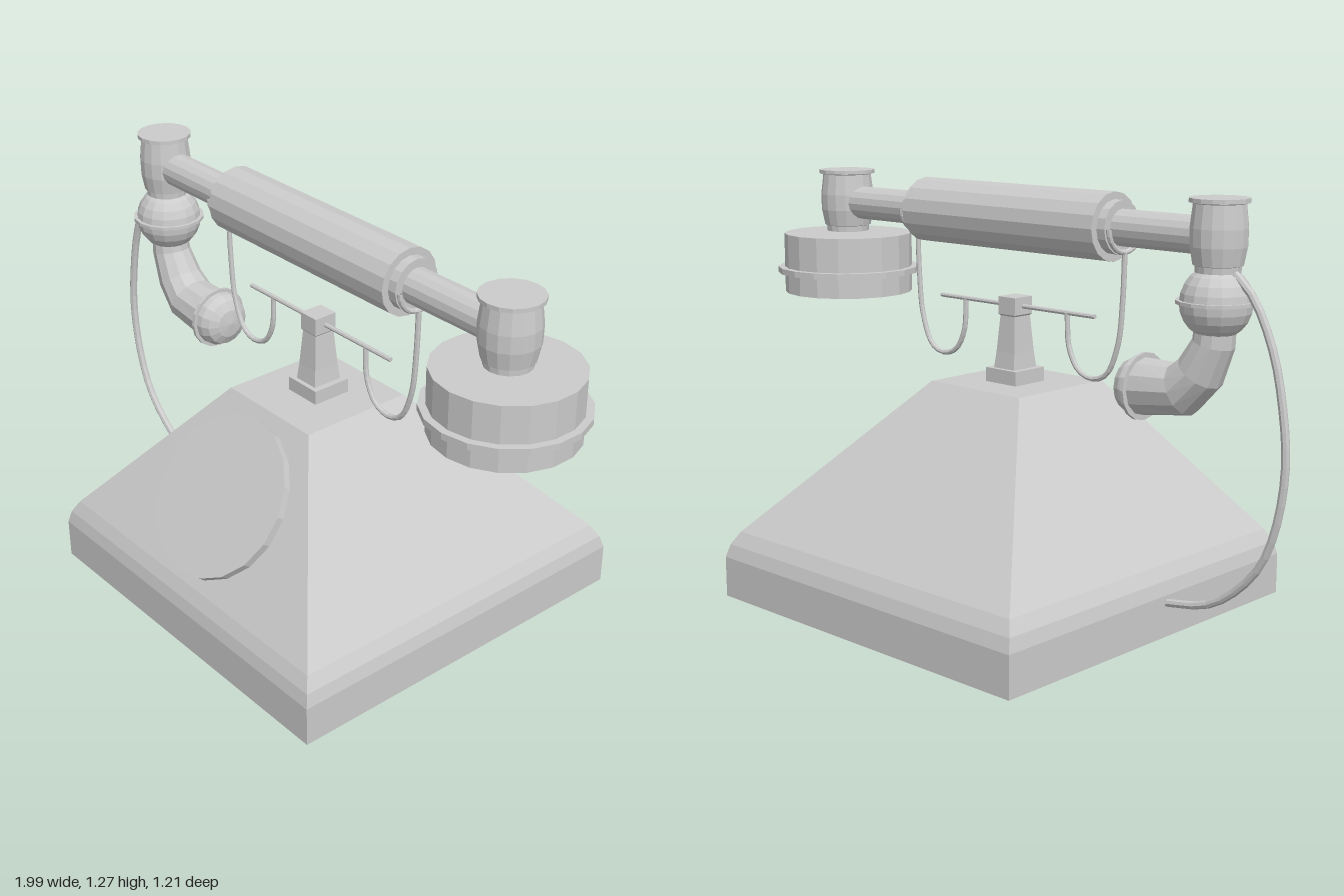
import * as THREE from 'three';

const Z = 0.056;      // depth of the handset plane
const AXIS = 1.165;   // height of the handle axis
const mat = new THREE.MeshStandardMaterial({ color: 0xcccccc, flatShading: true, side: THREE.DoubleSide });

function add(parent, name, geometry, x = 0, y = 0, z = 0) {
  const mesh = new THREE.Mesh(geometry, mat);
  mesh.name = name;
  mesh.position.set(x, y, z);
  parent.add(mesh);
  return mesh;
}

// Turned shape from [radius, height] pairs, bottom to top
function turned(profile, sides = 16) {
  return new THREE.LatheGeometry(profile.map(([r, y]) => new THREE.Vector2(r, y)), sides);
}

// Closed solid through rings of points, each wound about the direction of travel
function loft(rings) {
  const pos = [], n = rings[0].length;
  const tri = (...pts) => pts.forEach((p) => pos.push(p.x, p.y, p.z));
  for (let i = 0; i < rings.length - 1; i++) {
    for (let j = 0; j < n; j++) {
      const k = (j + 1) % n;
      const a = rings[i][j], b = rings[i][k], c = rings[i + 1][k], d = rings[i + 1][j];
      tri(a, b, c);
      tri(a, c, d);
    }
  }
  const first = rings[0], last = rings[rings.length - 1];
  for (let j = 1; j < n - 1; j++) {
    tri(first[0], first[j + 1], first[j]);
    tri(last[0], last[j], last[j + 1]);
  }
  const g = new THREE.BufferGeometry();
  g.setAttribute('position', new THREE.Float32BufferAttribute(pos, 3));
  g.computeVertexNormals();
  return g;
}

// Horizontal rectangle: height, half width, back and front depth
const rect = (y, hx, z0, z1) => [[hx, z1], [hx, z0], [-hx, z0], [-hx, z1]]
  .map(([x, z]) => new THREE.Vector3(x, y, z));

// Round section in the handset plane, facing the given angle
function circle(x, y, r, angle, sides = 12) {
  const d = new THREE.Vector3(Math.cos(angle), Math.sin(angle), 0);
  const e1 = new THREE.Vector3(0, 0, 1), e2 = d.clone().cross(e1);
  return Array.from({ length: sides }, (_, i) => {
    const t = (i / sides) * Math.PI * 2;
    return new THREE.Vector3(x, y, Z)
      .addScaledVector(e1, r * Math.cos(t)).addScaledVector(e2, r * Math.sin(t));
  });
}

// Bent wire through [x, y] points in the handset plane
function wire(points, radius, segments) {
  const curve = new THREE.CatmullRomCurve3(points.map(([x, y]) => new THREE.Vector3(x, y, Z)));
  return new THREE.TubeGeometry(curve, segments, radius, 8);
}

function buildBody() {
  const g = new THREE.Group();
  g.name = 'body';
  add(g, 'base', loft([
    rect(0, 0.603, -0.603, 0.603), rect(0.125, 0.603, -0.603, 0.603),
    rect(0.165, 0.593, -0.59, 0.593), rect(0.205, 0.57, -0.566, 0.573),
    rect(0.667, 0.183, -0.12, 0.246),
  ]));
  const dial = add(g, 'dial', new THREE.CylinderGeometry(0.25, 0.25, 0.025, 18), 0, 0.446, 0.428);
  dial.rotation.x = 0.919;
  return g;
}

function buildCradle() {
  const g = new THREE.Group();
  g.name = 'cradle';
  add(g, 'pedestal', new THREE.BoxGeometry(0.124, 0.045, 0.126), 0, 0.688, Z);
  const column = [[0.7, 0.043, 0.05], [0.76, 0.037, 0.043], [0.87, 0.029, 0.034],
    [0.875, 0.034, 0.038], [0.928, 0.034, 0.038]];
  add(g, 'column', loft(column.map(([y, hx, hz]) => rect(y, hx, Z - hz, Z + hz))));
  const bar = add(g, 'crossbar', new THREE.CylinderGeometry(0.007, 0.007, 0.635, 8), 0, 0.9, Z);
  bar.rotation.z = Math.PI / 2;
  for (const s of [-1, 1]) {
    // Wire arm sweeping from the crossbar up to a fork under the handle
    const path = [[0.21, 0.9], [0.218, 0.8], [0.255, 0.735], [0.31, 0.716],
      [0.363, 0.737], [0.405, 0.83], [0.42, 0.96], [0.425, 1.095]];
    add(g, 'wireArm', wire(path.map(([x, y]) => [s * x, y]), 0.008, 28));
    const fork = add(g, 'fork', new THREE.TorusGeometry(0.07, 0.008, 8, 12, Math.PI), s * 0.424, AXIS, Z);
    fork.rotation.set(0, Math.PI / 2, Math.PI, 'YXZ');
  }
  return g;
}

function buildHandset() {
  const g = new THREE.Group();
  g.name = 'handset';
  // Grip, collars and rod as one turned shape along x
  const half = [[0.1, 0], [0.1, 0.385], [0.078, 0.385], [0.078, 0.414], [0.053, 0.414], [0.053, 0.75], [0, 0.75]];
  const profile = [...half.slice(1).reverse().map(([r, x]) => [r, -x]), ...half.slice(1)];
  add(g, 'handle', turned(profile), 0, AXIS, Z).rotation.z = -Math.PI / 2;

  // Barrel caps over each end
  const cap = [[0, 1.07], [0.068, 1.07], [0.069, 1.088], [0.075, 1.09], [0.085, 1.14], [0.086, 1.19],
    [0.078, 1.255], [0.09, 1.258], [0.09, 1.27], [0, 1.27]];
  for (const [name, x, k] of [['mouthpieceCap', -0.75, 0.93], ['earpieceCap', 0.763, 1]]) {
    add(g, name, turned(cap), x, 0, Z).scale.set(k, 1, k);
  }

  // Earpiece cup with its rim
  add(g, 'earpiece', turned([[0, 0.87], [0.21, 0.87], [0.21, 0.934], [0.232, 0.934], [0.232, 0.953],
    [0.21, 0.953], [0.21, 1.063], [0, 1.063]], 18), 0.763, 0, Z);

  // Ball joint with a seam, bent neck and domed mouthpiece
  add(g, 'ballJoint', new THREE.SphereGeometry(0.102, 16, 12), -0.747, 0.988, Z);
  add(g, 'ballSeam', new THREE.CylinderGeometry(0.112, 0.112, 0.01, 16), -0.747, 0.99, Z);
  add(g, 'neck', loft([
    circle(-0.747, 0.93, 0.057, -1.52), circle(-0.742, 0.875, 0.06, -1.35),
    circle(-0.7, 0.79, 0.07, -0.98), circle(-0.642, 0.735, 0.078, -0.42),
    circle(-0.5, 0.722, 0.084, 0),
  ]));
  add(g, 'mouthpiece', turned([[0, -0.505], [0.098, -0.505], [0.098, -0.494], [0.087, -0.494],
    [0.085, -0.475], [0.073, -0.451], [0.045, -0.436], [0, -0.43]]), 0, 0.722, Z).rotation.z = -Math.PI / 2;
  return g;
}

export function createModel() {
  const model = new THREE.Group();
  model.name = 'telephone';
  model.add(buildBody(), buildCradle(), buildHandset());
  // Cord looping from the mouthpiece end to the base
  add(model, 'cord', wire([[-0.59, 0.1], [-0.737, 0.128], [-0.833, 0.187], [-0.918, 0.283], [-0.966, 0.41],
    [-0.987, 0.577], [-0.97, 0.737], [-0.934, 0.88], [-0.865, 1.015], [-0.78, 1.09]], 0.012, 24));
  return model;
}
